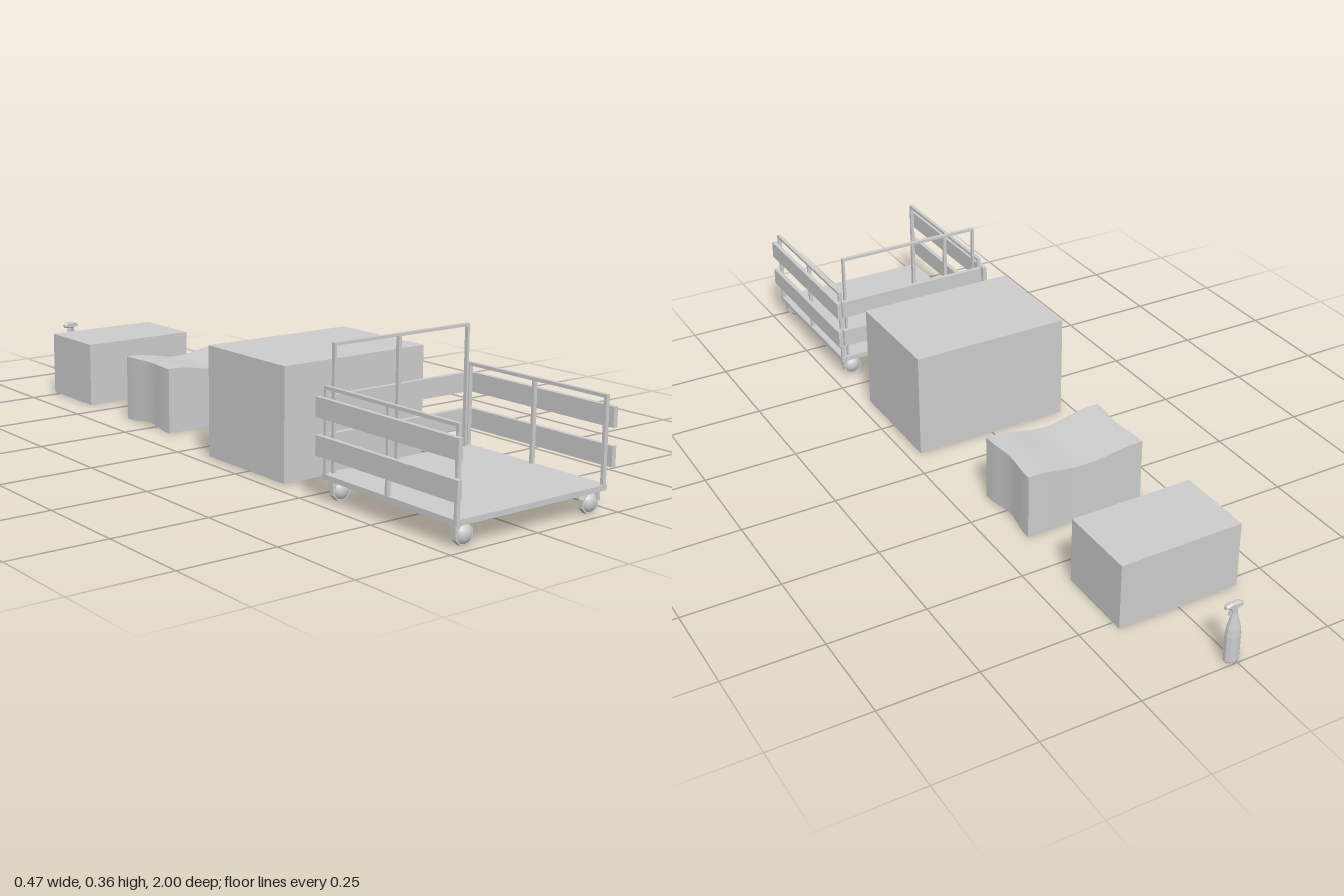
import * as THREE from 'three';

const grey = new THREE.MeshStandardMaterial({ color: 0xcccccc });
const faceted = new THREE.MeshStandardMaterial({ color: 0xcccccc, flatShading: true });

function add(parent, name, geometry, material = grey) {
  const mesh = new THREE.Mesh(geometry, material);
  mesh.name = name;
  parent.add(mesh);
  return mesh;
}

// Box given by its minimum and maximum on each axis
function block(parent, name, x0, x1, y0, y1, z0, z1) {
  const mesh = add(parent, name, new THREE.BoxGeometry(x1 - x0, y1 - y0, z1 - z0));
  mesh.position.set((x0 + x1) / 2, (y0 + y1) / 2, (z0 + z1) / 2);
  return mesh;
}

// Ball wheel with an octagonal hood and a short stem
function createCaster(x, z) {
  const caster = new THREE.Group();
  caster.name = 'caster';
  caster.position.set(x, 0.026, z);
  const ball = add(caster, 'wheel', new THREE.SphereGeometry(0.023, 14, 10));
  ball.scale.z = 0.75;
  const hood = add(caster, 'wheelHood', new THREE.CylinderGeometry(0.026, 0.026, 0.013, 8), faceted);
  hood.rotation.set(Math.PI / 2, Math.PI / 8, 0);
  const outer = Math.sign(x) * 0.024;
  block(caster, 'wheelBracket', outer - 0.004, outer + 0.004, 0.002, 0.026, -0.009, 0.009);
  const stem = add(caster, 'wheelStem', new THREE.CylinderGeometry(0.008, 0.008, 0.012, 8));
  stem.position.y = 0.022;
  return caster;
}

function createCart() {
  const cart = new THREE.Group();
  cart.name = 'cart';
  block(cart, 'platform', -0.224, 0.224, 0.052, 0.065, 0.55, 0.988);

  const slatHeights = [[0.106, 0.154], [0.195, 0.242]];
  for (const s of [-1, 1]) {
    // Side frame: three posts under a top rail, slats outside
    const side = new THREE.Group();
    side.name = s > 0 ? 'leftSide' : 'rightSide';
    cart.add(side);
    const slab = (name, a, b, y0, y1, z0, z1) =>
      block(side, name, Math.min(s * a, s * b), Math.max(s * a, s * b), y0, y1, z0, z1);
    for (const z of [0.556, 0.767, 0.982]) slab('sidePost', 0.213, 0.223, 0.065, 0.262, z - 0.004, z + 0.004);
    slab('sideRail', 0.213, 0.223, 0.26, 0.268, 0.552, 0.986);
    for (const [y0, y1] of slatHeights) slab('sideSlat', 0.223, 0.235, y0, y1, 0.538, 1);

    // Handle uprights and wheels
    slab('handlePost', 0.198, 0.204, 0.065, 0.358, 0.556, 0.566);
    for (const z of [0.57, 0.968]) cart.add(createCaster(s * 0.188, z));
  }
  block(cart, 'handleMiddlePost', -0.016, -0.008, 0.065, 0.358, 0.556, 0.566);
  block(cart, 'handleBar', -0.204, 0.204, 0.357, 0.364, 0.556, 0.566);
  for (const [y0, y1] of slatHeights) block(cart, 'backSlat', -0.218, 0.218, y0, y1, 0.54, 0.552);
  return cart;
}

// Carton whose faces sag inward towards the middle
function createDentedBox() {
  const w = 0.324, h = 0.173, d = 0.206;
  const geometry = new THREE.BoxGeometry(w, h, d, 12, 8, 10);
  const p = geometry.attributes.position;
  const bump = (t) => (1 + Math.cos(Math.PI * Math.min(1, Math.abs(t) * 1.15))) / 2;
  for (let i = 0; i < p.count; i++) {
    const u = p.getX(i) / w * 2, v = p.getY(i) / h * 2, t = p.getZ(i) / d * 2;
    const x = p.getX(i) - u * 0.008 * bump(t);
    const y = p.getY(i) - (v > 0 ? v * 0.018 * bump(u) : v * 0.008 * bump(t));
    const z = p.getZ(i) - t * 0.004 * bump(u);
    p.setXYZ(i, x, y, z);
  }
  geometry.computeVertexNormals();
  return geometry;
}

// Trigger bottle: tapered body, neck and a flat spray head
function createBottle() {
  const bottle = new THREE.Group();
  bottle.name = 'sprayBottle';
  bottle.position.set(0.006, 0, -0.983);
  const profile = [[0, 0], [0.018, 0], [0.02, 0.004], [0.02, 0.07], [0.017, 0.09], [0.01, 0.115], [0.007, 0.128], [0.007, 0.142], [0, 0.142]]
    .map(([r, y]) => new THREE.Vector2(r, y));
  const body = add(bottle, 'bottleBody', new THREE.LatheGeometry(profile, 10), faceted);
  body.scale.z = 0.8;
  const outline = new THREE.Shape([[-0.018, 0.142], [0.012, 0.14], [0.018, 0.145], [0.027, 0.146], [0.027, 0.154], [0.012, 0.158], [-0.01, 0.158], [-0.02, 0.151]]
    .map(([x, y]) => new THREE.Vector2(x, y)));
  const head = add(bottle, 'sprayHead', new THREE.ExtrudeGeometry(outline, {
    depth: 0.006, bevelEnabled: true, bevelThickness: 0.004, bevelSize: 0.003, bevelOffset: -0.003, bevelSegments: 1,
  }), faceted);
  head.position.z = -0.003;
  const trigger = block(bottle, 'trigger', 0.01, 0.014, 0.126, 0.144, -0.003, 0.003);
  trigger.rotation.z = 0.3;
  return bottle;
}

export function createModel() {
  const model = new THREE.Group();
  model.name = 'cartAndCartons';
  model.add(createCart());
  block(model, 'largeBox', -0.213, 0.215, 0.002, 0.283, 0.087, 0.394);
  const dented = add(model, 'dentedBox', createDentedBox());
  dented.position.set(-0.002, 0.0865, -0.271);
  block(model, 'smallBox', -0.164, 0.16, 0, 0.173, -0.776, -0.57);
  model.add(createBottle());
  return model;
}
